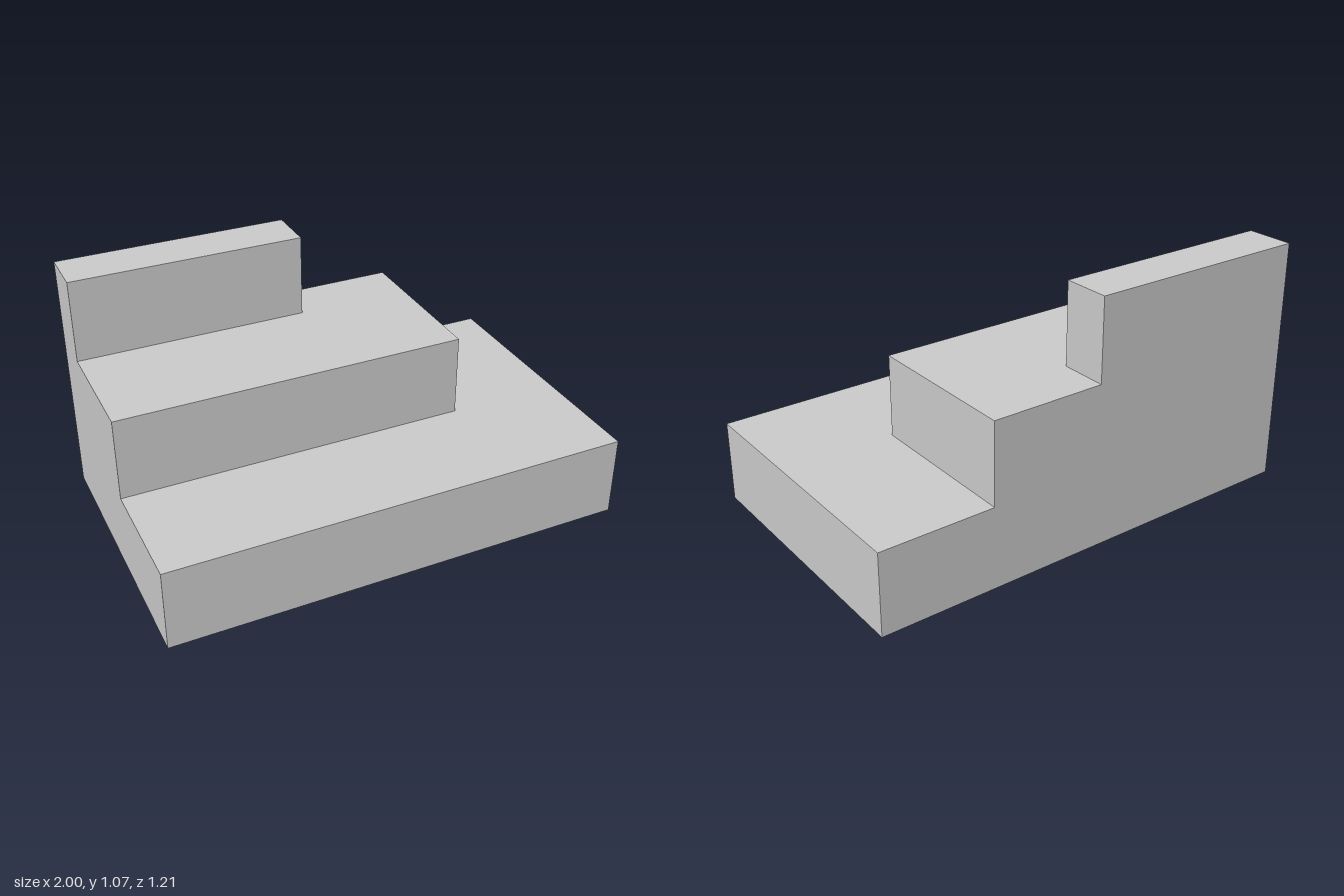
import * as THREE from 'three';

const STEP = 0.357; // height of each tier
const LEFT = -1, BACK = -0.605; // the flush corner shared by all tiers

export function createModel() {
  const model = new THREE.Group();
  model.name = 'steppedBlock';
  const material = new THREE.MeshStandardMaterial({ color: 0xcccccc, flatShading: true });

  // Tiers shrink toward the flush back corner
  const tiers = [
    { name: 'lowerTier', width: 2, depth: 1.21 },
    { name: 'middleTier', width: 1.5, depth: 0.71 },
    { name: 'upperTier', width: 1, depth: 0.21 },
  ];
  tiers.forEach(({ name, width, depth }, i) => {
    const tier = new THREE.Mesh(new THREE.BoxGeometry(width, STEP, depth), material);
    tier.name = name;
    tier.position.set(LEFT + width / 2, STEP * (i + 0.5), BACK + depth / 2);
    model.add(tier);
  });
  return model;
}
